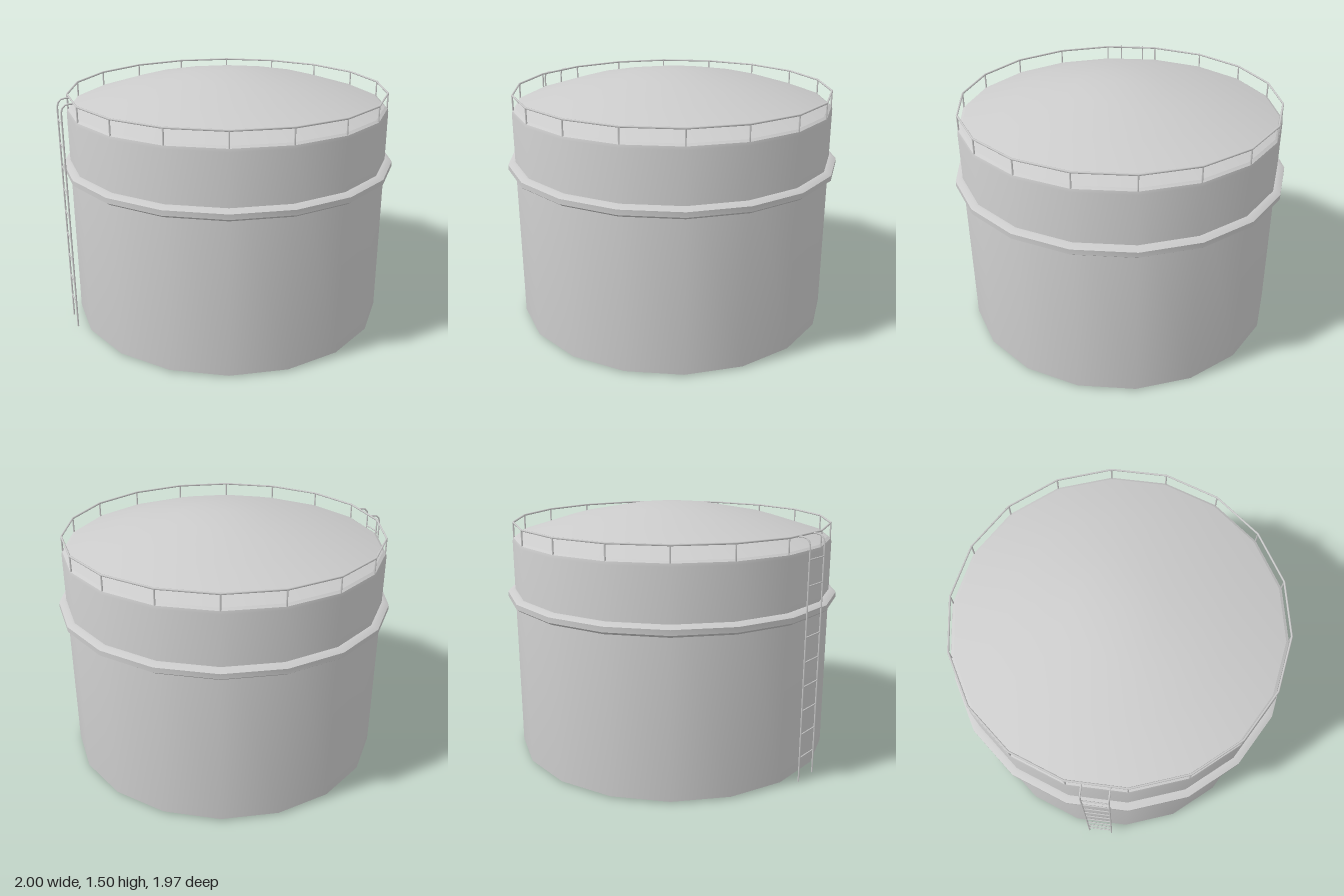
import * as THREE from 'three';
import { toCreasedNormals } from 'three/addons/utils/BufferGeometryUtils.js';

const SIDES = 18;
const material = new THREE.MeshStandardMaterial({ color: 0xcccccc });

function add(parent, name, geometry) {
  const mesh = new THREE.Mesh(geometry, material);
  mesh.name = name;
  parent.add(mesh);
  return mesh;
}

// 18-sided turned part with a corner on the x axis; profile runs [radius, y] upwards
function turned(profile) {
  const points = profile.map(([r, y]) => new THREE.Vector2(r, y));
  return toCreasedNormals(new THREE.LatheGeometry(points, SIDES, Math.PI / 2), Math.PI / 6);
}

export function createModel() {
  const model = new THREE.Group();
  model.name = 'storageTank';

  // Shell with flat floor and a small rounded shoulder
  add(model, 'tankWall', turned([
    [0, 0.01], [0.957, 0.01], [0.957, 1.285], [0.952, 1.302], [0.935, 1.312],
  ]));

  // Shallow domed roof
  add(model, 'roof', turned([[0.935, 1.312], [0.62, 1.41], [0.27, 1.475], [0, 1.5]]));

  // Stiffening ring around the shell
  add(model, 'stiffeningRing', turned([
    [0.95, 0.932], [0.978, 0.932], [1, 0.948], [1, 0.978], [0.97, 0.994], [0.95, 0.994],
  ]));

  // Guard rail with one post at every corner
  const railing = new THREE.Group();
  railing.name = 'railing';
  model.add(railing);
  const railRadius = 0.948;
  const rail = add(railing, 'topRail', new THREE.TorusGeometry(railRadius, 0.006, 6, SIDES));
  rail.rotation.x = Math.PI / 2;
  rail.position.y = 1.392;
  const postGeometry = new THREE.CylinderGeometry(0.005, 0.005, 0.09, 6);
  for (let i = 0; i < SIDES; i++) {
    const a = (i / SIDES) * Math.PI * 2;
    add(railing, 'railPost', postGeometry)
      .position.set(railRadius * Math.cos(a), 1.347, railRadius * Math.sin(a));
  }

  // Ladder, built facing +z and then turned onto the front right facet
  const ladder = new THREE.Group();
  ladder.name = 'ladder';
  ladder.rotation.y = -Math.PI / 3;
  model.add(ladder);
  const halfWidth = 0.075, reach = 1.006;
  for (const side of [-1, 1]) {
    const x = side * halfWidth;
    const path = new THREE.CurvePath();
    const p = (y, z) => new THREE.Vector3(x, y, z);
    path.add(new THREE.LineCurve3(p(0, reach), p(1.335, reach)));
    path.add(new THREE.QuadraticBezierCurve3(p(1.335, reach), p(1.385, reach), p(1.39, 0.965)));
    path.add(new THREE.LineCurve3(p(1.39, 0.965), p(1.39, 0.935)));
    add(ladder, 'ladderRail', new THREE.TubeGeometry(path, 60, 0.005, 6));
  }
  const rungGeometry = new THREE.CylinderGeometry(0.004, 0.004, halfWidth * 2, 6);
  for (let i = 0; i < 9; i++) {
    const rung = add(ladder, 'rung', rungGeometry);
    rung.rotation.z = Math.PI / 2;
    rung.position.set(0, 0.145 + i * 0.141, reach);
  }

  return model;
}
